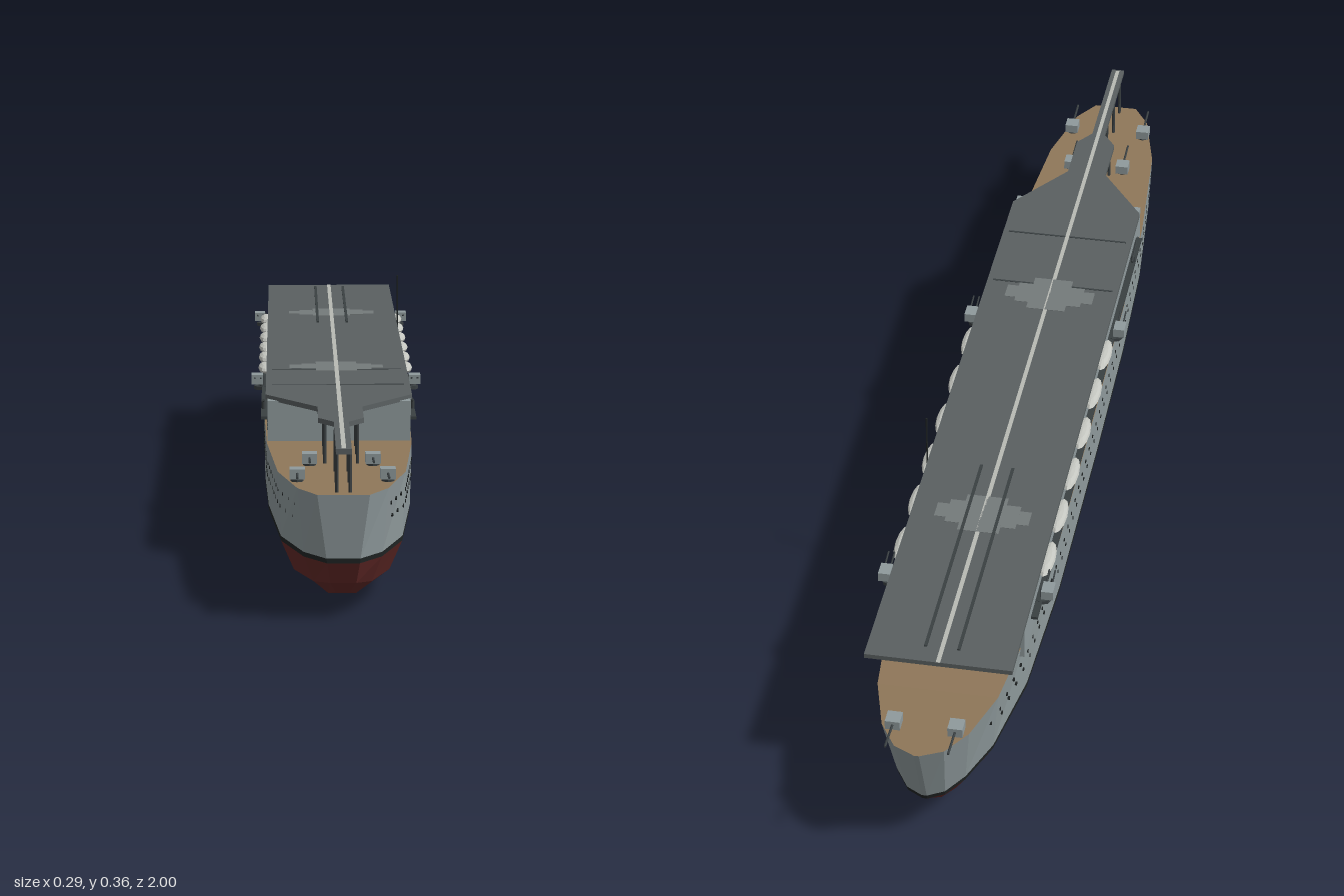
import * as THREE from 'three';
import { mergeGeometries } from 'three/addons/utils/BufferGeometryUtils.js';

const mat = (color) => new THREE.MeshStandardMaterial({ color, flatShading: true });
const GREY = mat(0x8f9a9c), RED = mat(0x642a28), BLACK = mat(0x202424), WOOD = mat(0x8f7759);
const DECK = mat(0x5a6061), LIFT = mat(0x747a7a), LINE = mat(0xb8bab4), BOAT = mat(0xc4c6c0), DARK = mat(0x3a4042);

// Hull stations, bow to stern; each level is [half width, y, z]: deck, waterline, bilge, keel
const STATIONS = [
  [[.040, .198, .980], [.025, .09, .970], [.020, .055, .950], [.012, .030, .900]],
  [[.070, .199, .930], [.060, .09, .920], [.045, .047, .900], [.022, .015, .840]],
  [[.100, .200, .800], [.095, .09, .800], [.075, .042, .790], [.033, .004, .720]],
  [[.118, .200, .550], [.115, .09, .550], [.095, .042, .550], [.037, 0, .530]],
  [[.123, .200, .300], [.122, .09, .300], [.100, .042, .300], [.037, 0, .300]],
  [[.124, .202, 0], [.124, .09, 0], [.101, .042, 0], [.037, 0, 0]],
  [[.124, .206, -.40], [.123, .09, -.40], [.100, .042, -.40], [.037, 0, -.40]],
  [[.116, .212, -.65], [.112, .09, -.65], [.090, .042, -.64], [.035, 0, -.61]],
  [[.098, .218, -.83], [.085, .09, -.81], [.065, .045, -.79], [.030, .008, -.74]],
  [[.070, .224, -.93], [.055, .09, -.89], [.035, .050, -.87], [.020, .020, -.82]],
  [[.040, .227, -.98], [.030, .09, -.93], [.018, .055, -.90], [.010, .030, -.85]],
  [[.004, .229, -1.0], [.004, .09, -.945], [.004, .060, -.91], [.004, .033, -.86]],
];
const lerp3 = (a, b, t) => a.map((v, i) => v + (b[i] - v) * t);
const level = (k) => STATIONS.map((s) => s[k]);
const bandTop = STATIONS.map((s) => lerp3(s[1], s[0], .07));

function fromQuads(quads) {
  const p = [];
  for (const [a, b, c, d] of quads) p.push(...a, ...b, ...c, ...a, ...c, ...d);
  const g = new THREE.BufferGeometry();
  g.setAttribute('position', new THREE.Float32BufferAttribute(p, 3));
  g.computeVertexNormals();
  return g;
}
const mirror = ([x, y, z]) => [-x, y, z];
const loop = (side) => [...side, ...side.map(mirror).reverse()];

// Skin between two hull levels, all the way round
function skin(lower, upper) {
  const L = loop(lower), U = loop(upper), n = L.length;
  return fromQuads(L.map((p, i) => [p, L[(i + 1) % n], U[(i + 1) % n], U[i]]));
}
// Flat cover over one hull level
function cap(side, up) {
  const q = [];
  for (let i = 0; i < side.length - 1; i++) {
    const f = [side[i], side[i + 1], mirror(side[i + 1]), mirror(side[i])];
    q.push(up ? f : f.reverse());
  }
  return fromQuads(q);
}
// Half width of the hull side at a height and z
function sideX(y, z) {
  const at = STATIONS.map((s) => lerp3(s[1], s[0], (y - .09) / (s[0][1] - .09)));
  for (let i = 0; i < at.length - 1; i++) {
    const a = at[i], b = at[i + 1];
    if (z <= a[2] && z >= b[2]) return lerp3(a, b, (z - a[2]) / (b[2] - a[2]))[0];
  }
  return 0;
}

const box = (w, h, d, x, y, z) => new THREE.BoxGeometry(w, h, d).translate(x, y, z);
// Round bar between two points
function bar(a, b, r, sides = 6) {
  const A = new THREE.Vector3(...a), B = new THREE.Vector3(...b), d = B.clone().sub(A);
  const g = new THREE.CylinderGeometry(r, r, d.length(), sides);
  g.applyQuaternion(new THREE.Quaternion().setFromUnitVectors(new THREE.Vector3(0, 1, 0), d.normalize()));
  return g.translate(...A.add(B).multiplyScalar(.5).toArray());
}

export function createModel() {
  const ship = new THREE.Group();
  ship.name = 'flatDeckShip';
  const add = (name, geo, material, parent = ship) => {
    const m = new THREE.Mesh(Array.isArray(geo) ? mergeGeometries(geo) : geo, material);
    m.name = name;
    parent.add(m);
    return m;
  };

  // Hull
  add('lowerHull', [skin(level(3), level(2)), skin(level(2), level(1)), cap(level(3), false)], RED);
  add('waterlineBand', skin(level(1), bandTop), BLACK);
  add('upperHull', skin(bandTop, level(0)), GREY);
  add('weatherDeck', cap(level(0), true), WOOD);

  // Portholes: two rows on the hull, one on the hangar
  const holes = [];
  for (const s of [-1, 1]) {
    for (const [y, z0, z1] of [[.147, .88, -.82], [.17, .9, -.86], [.216, .5, -.64]]) {
      for (let z = z0; z > z1; z -= .037) {
        const x = y > .2 ? .117 : sideX(y, z);
        holes.push(bar([s * (x - .004), y, z], [s * (x + .0012), y, z], .0032));
      }
    }
  }
  add('portholes', holes, BLACK);

  // Hangar and flight deck
  add('hangar', box(.234, .07, 1.23, 0, .231, -.085), GREY);
  const half = [[.12, -.825], [.12, .5], [.036, .62], [.036, .725], [.012, .76], [.012, 1]];
  const outline = [...half, ...half.map(([x, z]) => [-x, z]).reverse()];
  const shape = new THREE.Shape(outline.map(([x, z]) => new THREE.Vector2(x, -z)));
  const deck = new THREE.ExtrudeGeometry(shape, { depth: .008, bevelEnabled: false });
  add('flightDeck', deck.rotateX(-Math.PI / 2).translate(0, .264, 0), DECK);
  add('centreLine', box(.007, .001, 1.82, 0, .2722, .085), LINE);
  add('deckTracks', [-.027, .027].map((x) => box(.005, .003, .48, x, .273, -.55)), DARK);
  add('deckSeams', [.24, .4].map((z) => box(.22, .0008, .004, 0, .2722, z)), DARK);

  // Stepped lift platforms
  for (const z of [-.44, .21]) {
    add('lift', [[.08, .018], [.06, .03], [.035, .048]].map(([w, d], i) =>
      box(w * 2, .0006 + i * .0002, d * 2, 0, .2722, z)), LIFT);
  }

  // Posts under the forward runway and braces under the aft overhang
  const posts = [], braces = [];
  for (const s of [-1, 1]) {
    for (const z of [.96, .885, .8, .73, .65, .575]) {
      const x = s * (z > .76 ? .01 : .026);
      posts.push(bar([x, .195, z], [x, .266, z], .003));
    }
    for (const x of [.04, .105]) braces.push(bar([s * x, .213, -.7], [s * x, .265, -.815], .002));
  }
  add('runwayPosts', posts, DARK);
  add('overhangBraces', braces, DARK);

  // Deck guns: housing, base and barrel; dir is the way they point
  const gun = (x, y, z, dir) => {
    const g = new THREE.Group();
    g.name = 'deckGun';
    add('gunHousing', [box(.024, .016, .026, 0, .012, 0)], GREY, g);
    add('gunBase', bar([0, -.002, 0], [0, .006, 0], .01, 8), DARK, g);
    add('gunBarrel', bar([0, .013, dir * .01], [0, .017, dir * .068], .002), DARK, g);
    g.position.set(x, y, z);
    ship.add(g);
  };

  for (const s of [-1, 1]) {
    gun(s * .05, .2, .745, 1);
    gun(s * .07, .2, .875, 1);
    gun(s * .05, .222, -.93, -1);

    // Side gallery with boats
    add('sideGallery', box(.012, .005, 1.12, s * .122, .229, -.08), DARK);
    const boats = [];
    for (let i = 0; i < 6; i++) {
      boats.push(new THREE.SphereGeometry(1, 12, 6).scale(.013, .008, .047).translate(s * .122, .249, .075 - i * .117));
    }
    add('boats', boats, BOAT);

    // Gun sponsons
    for (const z of [.165, -.585]) {
      const p = new THREE.Group();
      p.name = 'sponsonGun';
      add('sponson', bar([s * .126, .226, z], [s * .126, .232, z], .016, 8), DARK, p);
      add('pedestal', bar([s * .129, .23, z], [s * .129, .25, z], .006), DARK, p);
      add('shield', [box(.02, .016, .028, s * .136, .244, z)], GREY, p);
      add('barrels', [-.005, .005].map((d) =>
        bar([s * (.135 + d), .246, z + .01], [s * (.135 + d), .252, z + .045], .0015)), DARK, p);
      ship.add(p);
    }
    // Light gun at the forward end of the gallery
    add('lightGun', [bar([s * .124, .23, .4], [s * .124, .244, .4], .004),
      bar([s * .124, .241, .385], [s * .124, .252, .435], .002)], DARK);
  }

  // Wireless mast on the left deck edge
  add('mast', bar([.121, .235, -.31], [.121, .36, -.31], .0015), BLACK);
  return ship;
}
